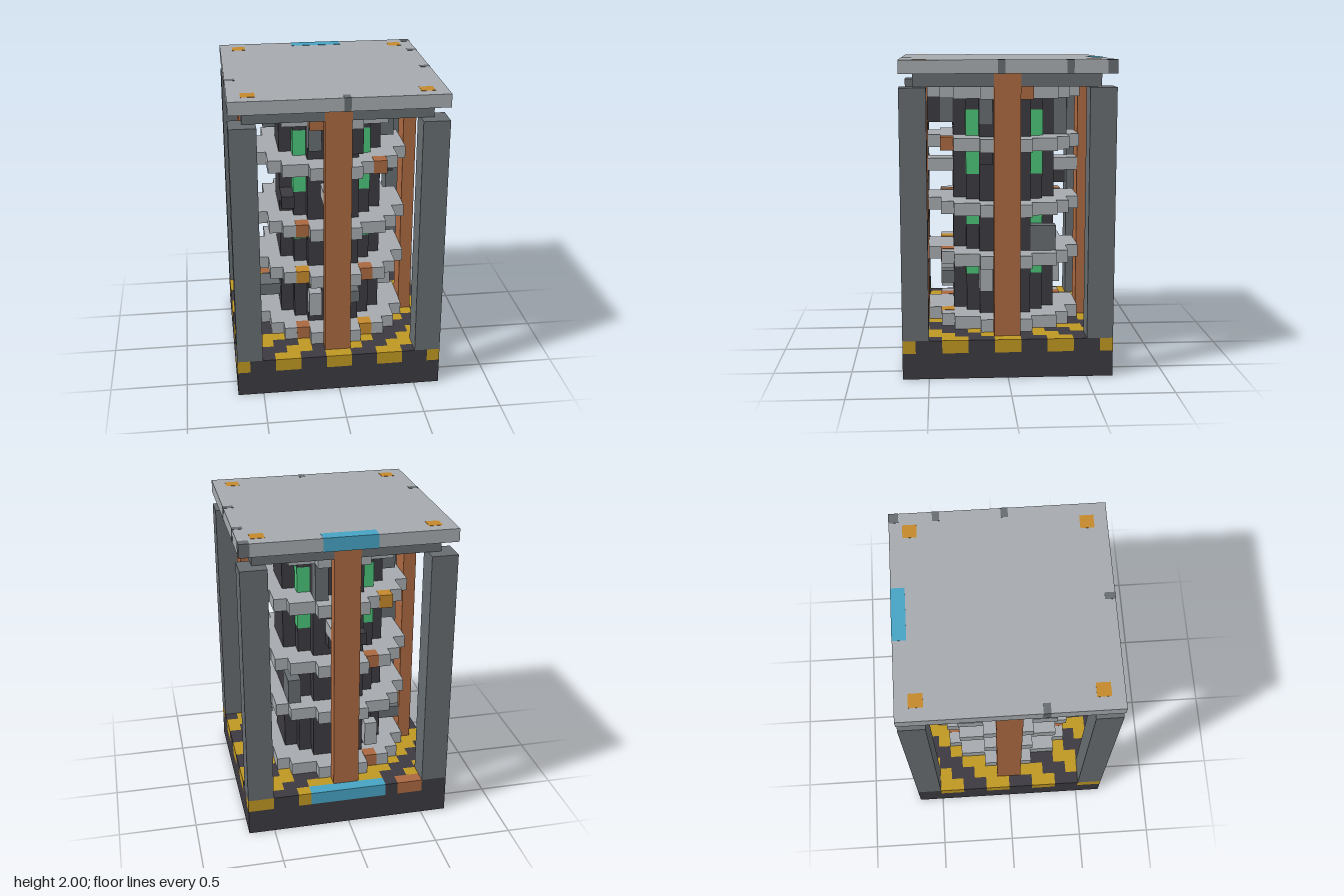
import * as THREE from 'three';
import { mergeGeometries } from 'three/addons/utils/BufferGeometryUtils.js';

const U = 1 / 12; // one block

function material(name, color) {
  const m = new THREE.MeshStandardMaterial({ color });
  m.name = name;
  return m;
}

// Box from block coordinates [x0, y0, z0, x1, y1, z1], optionally grown by e
function block([x0, y0, z0, x1, y1, z1], e = 0) {
  const g = new THREE.BoxGeometry((x1 - x0 + 2 * e) * U, (y1 - y0 + 2 * e) * U, (z1 - z0 + 2 * e) * U);
  return g.translate((x0 + x1) / 2 * U, (y0 + y1) / 2 * U, (z0 + z1) / 2 * U);
}

// Stepped round disc, one box per row
function disc(radius, y0, y1) {
  const rows = [];
  for (let z = -radius; z < radius; z++) {
    let half = 0;
    while ((half + 0.5) ** 2 + (z + 0.5) ** 2 <= radius * radius) half++;
    rows.push([-half, y0, z, half, y1, z + 1]);
  }
  return rows;
}

export function createModel() {
  const light = material('light grey', 0xa5aaae);
  const grey = material('steel grey', 0x666c70);
  const dark = material('charcoal', 0x3c3a40);
  const copper = material('copper', 0xaa6840);
  const amber = material('amber', 0xc4882c);
  const yellow = material('hazard yellow', 0xbe9622);
  const green = material('glow green', 0x4ac278);
  const blue = material('panel blue', 0x46a3c3);

  const model = new THREE.Group();
  const add = (name, mat, boxes, e = 0) => {
    const mesh = new THREE.Mesh(mergeGeometries(boxes.map((b) => block(b, e))), mat);
    mesh.name = name;
    model.add(mesh);
  };

  // Base with a striped top layer
  add('base', dark, [[-8, 0, -8, 8, 2, 8]]);
  const cells = new Map([[dark, []], [yellow, []], [blue, []], [copper, []]]);
  for (let i = 0; i < 16; i++) {
    for (let j = 0; j < 16; j++) {
      let mat = (i + j) % 4 >= 2 ? yellow : dark;
      if (j === 0 && i >= 5 && i <= 10) mat = blue;
      if (j === 0 && (i === 2 || i === 3)) mat = copper;
      cells.get(mat).push([i - 8, 2, j - 8, i - 7, 3, j - 7]);
    }
  }
  add('baseTop', dark, cells.get(dark));
  add('hazardStripes', yellow, cells.get(yellow));
  add('basePanel', blue, cells.get(blue));
  add('baseRust', copper, cells.get(copper));

  // Corner posts, roof bolts and core lights, mirrored to four quadrants
  const posts = [], bolts = [], lights = [];
  for (const sx of [-1, 1]) {
    for (const sz of [-1, 1]) {
      const quad = (a, b, y0, y1) => [
        Math.min(sx * a, sx * b), y0, Math.min(sz * a, sz * b),
        Math.max(sx * a, sx * b), y1, Math.max(sz * a, sz * b)];
      posts.push(quad(6, 8, 3, 22));
      bolts.push(quad(6, 7, 23.95, 24));
      for (const [y0, y1] of [[7, 8], [11, 12], [15, 17], [18, 20]]) lights.push(quad(2, 3, y0, y1));
    }
  }
  add('cornerPosts', grey, posts);
  add('roofBolts', amber, bolts, 0.02);
  add('coreLights', green, lights, 0.02);

  // Copper bars at the middle of each side
  add('copperBars', copper, [
    [-1, 3, 6, 1, 23, 7], [-1, 3, -7, 1, 23, -6],
    [6, 3, -1, 7, 23, 1], [-7, 3, -1, -6, 23, 1]], 0.004);

  // Roof
  add('roofUnderside', grey, [[-7, 22, -7, 7, 23, 7]]);
  add('roof', light, [[-8, 23, -8, 8, 24, 8]]);
  add('roofPanel', blue, [[-2, 23, -8, 2, 24, -7]], 0.02);
  add('roofNotches', grey, [
    [7.25, 23, -8, 8, 24, -7.3], [7.25, 23, -4.8, 8, 24, -4.3],
    [7.25, 23, 0.25, 8, 24, 0.75], [-8, 23, 2.25, -7.25, 24, 2.75],
    [0.25, 23, 7.25, 0.75, 24, 8]], 0.015);

  // Core and its rings
  add('core', dark, disc(4, 3, 21));
  for (const y of [3, 8, 12, 17, 21]) add('ring', light, disc(6, y, y + 1));

  // Coloured ring blocks
  const cube = (x, y, z) => [x, y, z, x + 1, y + 1, z + 1];
  add('ringCopper', copper, [
    cube(-2, 21, 5), cube(5, 21, -2), cube(3, 17, 4), cube(-3, 12, 4), cube(2, 8, 4),
    cube(-3, 3, 4), cube(-3, 12, -5), cube(-3, 3, -5)], 0.02);
  add('ringAmber', amber, [cube(-3, 8, 4), cube(2, 3, 4), cube(-4, 17, -5)], 0.02);

  // Machine boxes fixed to the core
  add('lightBoxes', light, [
    [4, 6, 1, 5, 8, 2], [-2, 5, 4, -1, 7, 5], [-3, 5, -5, -2, 7, -4],
    [-1, 15, 4, 1, 16, 6], [-1, 15, -6, 1, 16, -4]]);
  add('greyBoxes', grey, [
    [-6, 5, -1, -4, 6, 1], [1, 6, 4, 2, 7, 5], [3, 9, -4, 4, 11, -2],
    [4, 19, 1, 5, 21, 2], [-5, 19, -2, -4, 21, -1], [-2, 19, 4, -1, 21, 5],
    [1, 19, 4, 2, 21, 5], [1, 18, -5, 2, 21, -4]]);
  add('darkBoxes', dark, [
    [4, 16, 1, 5, 17, 2], [-4, 14, 2, -3, 15, 4],
    [-2, 14, -5, 1, 15, -4], [1, 19, 5, 2, 21, 6]]);

  return model;
}
